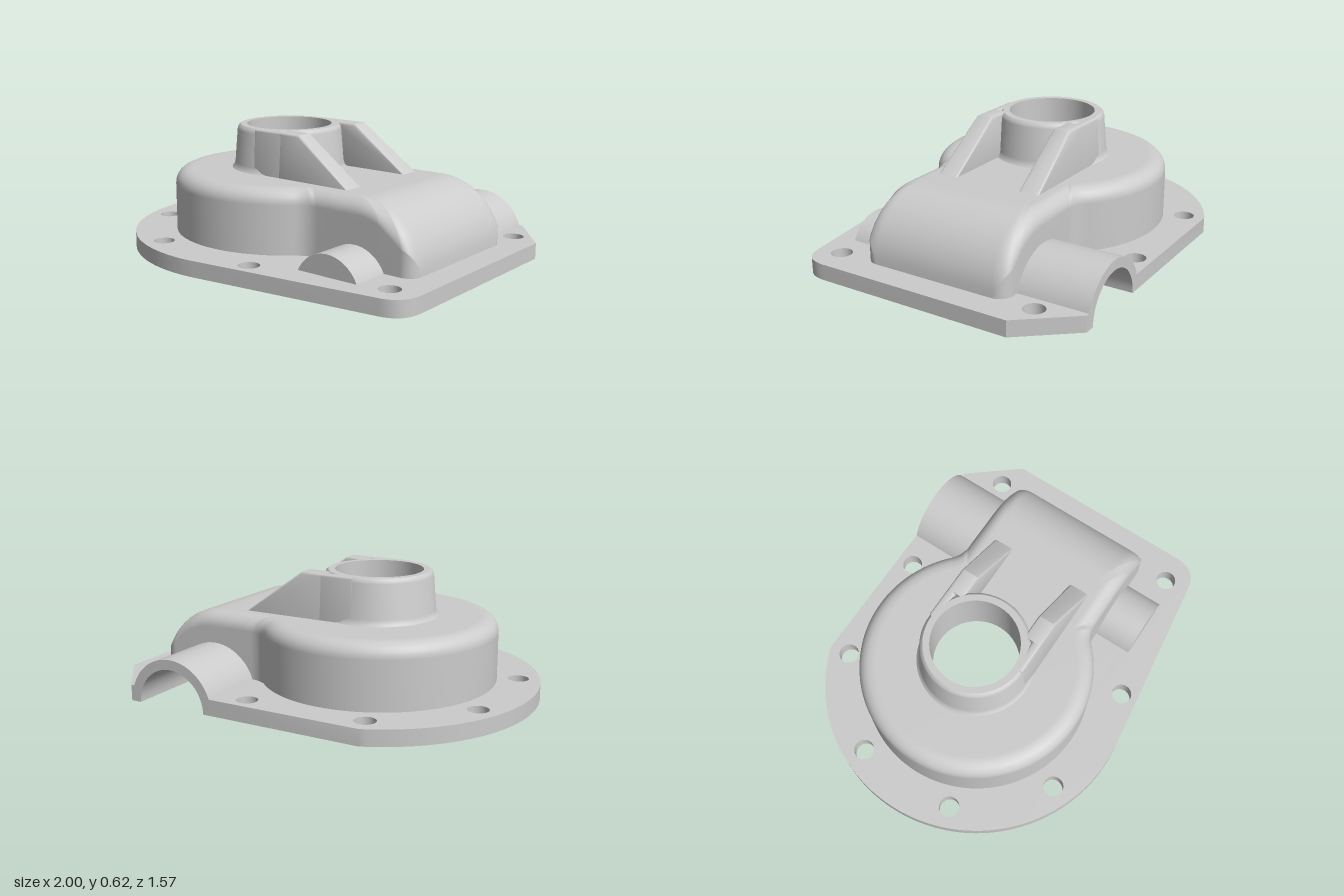
import * as THREE from 'three';
import { toCreasedNormals } from 'three/addons/utils/BufferGeometryUtils.js';

const V = (x, y) => new THREE.Vector2(x, y);
const material = new THREE.MeshStandardMaterial({ color: 0xcccccc, side: THREE.DoubleSide });
const CX = -0.19, CZ = -0.03;               // bore axis
const AX = 0.54;                            // cross shaft axis (y = 0)
const PLATE = 0.08, ROOF = 0.4, WALL = 0.055, BORE = 0.22;
const REAR = 0.19, FRONT = 0.135;           // shaft bore radii

// Points along an arc in plan or elevation
function arc(cx, cy, r, a0, a1, n) {
  return Array.from({ length: n + 1 }, (_, i) => {
    const a = a0 + (a1 - a0) * i / n;
    return V(cx + r * Math.cos(a), cy + r * Math.sin(a));
  });
}
const bend = (a, b, c, n) => new THREE.QuadraticBezierCurve(a, b, c).getPoints(n);

// Housing plan (disc joined to a box), inset by t
function housingPlan(t) {
  const R = 0.595 - t, h = 0.395 - t, X = 0.865 - t, cr = 0.07 - t * 0.5;
  const xi = CX + Math.sqrt(R * R - h * h), phi = Math.asin(h / R) + 0.11;
  const disc = arc(CX, CZ, R, -phi, phi - 2 * Math.PI, 110);
  const pts = [
    ...bend(V(0.32, CZ - h), V(xi, CZ - h), disc[0], 8),
    ...disc.slice(1),
    ...bend(disc[110], V(xi, CZ + h), V(0.32, CZ + h), 8).slice(1),
  ];
  for (let k = 0; k <= 20; k++) pts.push(V(AX - FRONT * Math.cos(k * Math.PI / 20), CZ + h));
  pts.push(...arc(X - cr, CZ + h - cr, cr, Math.PI / 2, 0, 8));
  for (let k = 1; k < 14; k++) pts.push(V(X, CZ + (h - cr) * (1 - k / 7)));
  pts.push(...arc(X - cr, CZ - h + cr, cr, 0, -Math.PI / 2, 8));
  for (let k = 0; k <= 20; k++) pts.push(V(AX + REAR * Math.cos(k * Math.PI / 20), CZ - h));
  return pts;
}

// Roofed skin: loops run from the plan inward to the bore, following a height rule
function housingSkin(t, floor, inward) {
  const plan = housingPlan(t), n = plan.length;
  const h = 0.395 - t, fillet = 0.075 - t * 0.6;
  const height = (x, z, extra) => {
    const dx = Math.max(0, x - 0.545), r = 0.32 - t;
    const top = dx > 0 ? PLATE + Math.sqrt(Math.max(0, r * r - dx * dx)) : ROOF - t;
    const disc = 0.595 - t - Math.hypot(x - CX, z - CZ);
    const box = Math.min(h - Math.abs(z - CZ), x - 0.1);
    const f = fillet - Math.min(fillet, Math.max(0, disc, box, extra));
    return Math.max(PLATE, top - fillet + Math.sqrt(fillet * fillet - f * f));
  };
  // lower edge arches over the shaft bores
  const base = (p) => {
    const side = Math.abs(Math.abs(p.y - CZ) - h) < 1e-4;
    const r = p.y < CZ ? REAR : FRONT, d = p.x - AX;
    return side && Math.abs(d) < r ? Math.max(floor, Math.sqrt(r * r - d * d)) : floor;
  };
  const steps = [0, 0.003, 0.01, 0.02, 0.035, 0.055, 0.08];
  const inner = 26, rows = steps.length + inner;
  const pos = [], idx = [];
  plan.forEach((p) => pos.push(p.x, base(p), p.y));
  for (let k = 0; k < rows; k++) {
    for (const p of plan) {
      const rx = p.x - CX, rz = p.y - CZ, len = Math.hypot(rx, rz);
      const last = steps[steps.length - 1];
      const d = k < steps.length ? steps[k]
        : last + (len - BORE - last) * (k - steps.length + 1) / inner;
      const x = CX + rx * (1 - d / len), z = CZ + rz * (1 - d / len);
      const y = height(x, z, p.x < 0.3 ? d : 0);
      pos.push(x, k === 0 ? Math.max(y, base(p)) : y, z);
    }
  }
  for (let k = 0; k < rows; k++) for (let j = 0; j < n; j++) {
    const a = k * n + j, b = k * n + (j + 1) % n, c = a + n, d = b + n;
    if (inward) idx.push(a, d, b, a, c, d);
    else idx.push(a, b, d, a, d, c);
  }
  const g = new THREE.BufferGeometry();
  g.setAttribute('position', new THREE.Float32BufferAttribute(pos, 3));
  g.setIndex(idx);
  g.computeVertexNormals();
  return g;
}

// Flange plate, with the cavity, both shaft notches and the bolt holes cut out
function flangeGeometry() {
  const h = 0.395 - WALL, back = -0.785, rad = Math.PI / 180;
  const cavity = housingPlan(WALL).reverse().filter((p) =>
    !(Math.abs(Math.abs(p.y - CZ) - h) < 1e-4 && Math.abs(p.x - AX) < (p.y < CZ ? REAR : FRONT) + 0.002));
  const gap = cavity.findIndex((p, i) => i > 0 && Math.abs(p.y - CZ - h) < 1e-4 && p.x < AX);
  cavity.splice(gap, 0, V(AX + FRONT, CZ + h), V(AX + FRONT, 0.515), V(AX - FRONT, 0.515), V(AX - FRONT, CZ + h));
  const shape = new THREE.Shape([
    V(AX - REAR, back),
    ...arc(CX, CZ, 0.81, 248.8 * rad, 82.5 * rad, 70),
    ...bend(V(0.88, 0.646), V(1, 0.63), V(1, 0.5), 10),
    V(1, -0.52), V(0.785, back), V(AX + REAR, back), V(AX + REAR, CZ - h),
    ...cavity, V(AX - REAR, CZ - h),
  ]);
  const bolts = [[-0.84, -0.3], [-0.84, 0.235], [-0.46, -0.68], [-0.46, 0.62],
    [0.155, -0.7], [0.155, 0.655], [0.85, -0.565], [0.85, 0.52]];
  for (const [x, z] of bolts) shape.holes.push(new THREE.Path(arc(x, z, 0.052, 0, 2 * Math.PI, 28).slice(0, -1)));
  const g = new THREE.ExtrudeGeometry(shape, { depth: PLATE, bevelEnabled: false });
  g.rotateX(Math.PI / 2).translate(0, PLATE, 0);
  return toCreasedNormals(g, 0.5);
}

// Half-round sleeve along z; inner radius 0 makes it solid
function sleeve(outer, inner, z0, z1) {
  const pts = arc(AX, 0, outer, 0, Math.PI, 32);
  if (inner) pts.push(...arc(AX, 0, inner, Math.PI, 0, 32));
  const g = new THREE.ExtrudeGeometry(new THREE.Shape(pts), { depth: z1 - z0, bevelEnabled: false });
  return toCreasedNormals(g.translate(0, 0, z0), 0.5);
}

// Side profile extruded across z, its outer face drafted toward the base
function rib(profile, z0, z1, side) {
  const b = 0.012;
  const g = new THREE.ExtrudeGeometry(new THREE.Shape(profile.map(([x, y]) => V(x, y))), {
    depth: z1 - z0 - 2 * b, bevelSize: b, bevelThickness: b, bevelOffset: -b, bevelSegments: 3,
  });
  g.translate(0, 0, z0 + b);
  const p = g.attributes.position, mid = (z0 + z1) / 2;
  for (let i = 0; i < p.count; i++) {
    const out = p.getZ(i) > mid ? 1 : 0;
    p.setZ(i, p.getZ(i) + out * 0.07 * (0.625 - p.getY(i)));
  }
  if (side < 0) g.rotateY(Math.PI).translate(2 * CX, 0, 0);
  g.translate(0, 0, CZ);
  return toCreasedNormals(g, 0.6);
}

export function createModel() {
  const model = new THREE.Group();
  const add = (name, geometry) => {
    const mesh = new THREE.Mesh(geometry, material);
    mesh.name = name;
    model.add(mesh);
  };

  add('flange', flangeGeometry());
  add('housingOuter', housingSkin(0, PLATE, false));
  add('housingCavity', housingSkin(WALL, 0, true));

  // Bore boss with its through hole
  const boss = [[0.305, 0.395], [0.291, 0.408], [0.284, 0.43], [0.27, 0.6], [0.265, 0.615],
    [0.253, 0.625], [BORE, 0.625], [BORE, ROOF - WALL]].map(([r, y]) => V(r, y));
  add('boreBoss', toCreasedNormals(new THREE.LatheGeometry(boss, 72).translate(CX, 0, CZ), 0.6));

  // Sloping ribs, tangent to the boss on both sides
  for (const side of [1, -1]) {
    const name = side > 0 ? 'frontRib' : 'backRib';
    // the far side is turned about the bore, so its profile is mirrored in x first
    const along = (pts) => side > 0 ? pts : pts.map(([x, y]) => [2 * CX - x, y]).reverse();
    add(name, rib(along([[-0.03, 0.38], [0.44, 0.38], [0.1, 0.625], [-0.03, 0.625]]), 0.178, 0.27, side));
    add(name + 'Root', rib(along([[-0.19, 0.38], [0.0, 0.38], [0.0, 0.625], [-0.19, 0.625]]), 0.224, 0.27, side));
  }

  // Shaft sleeves: open at the back, closed at the front
  add('rearSleeve', sleeve(0.24, REAR, -0.785, CZ - 0.395 + WALL));
  add('frontSleeve', sleeve(0.185, FRONT, CZ + 0.395 - WALL, 0.515));
  add('frontSleeveEnd', sleeve(0.185, 0, 0.515, 0.565));
  return model;
}
